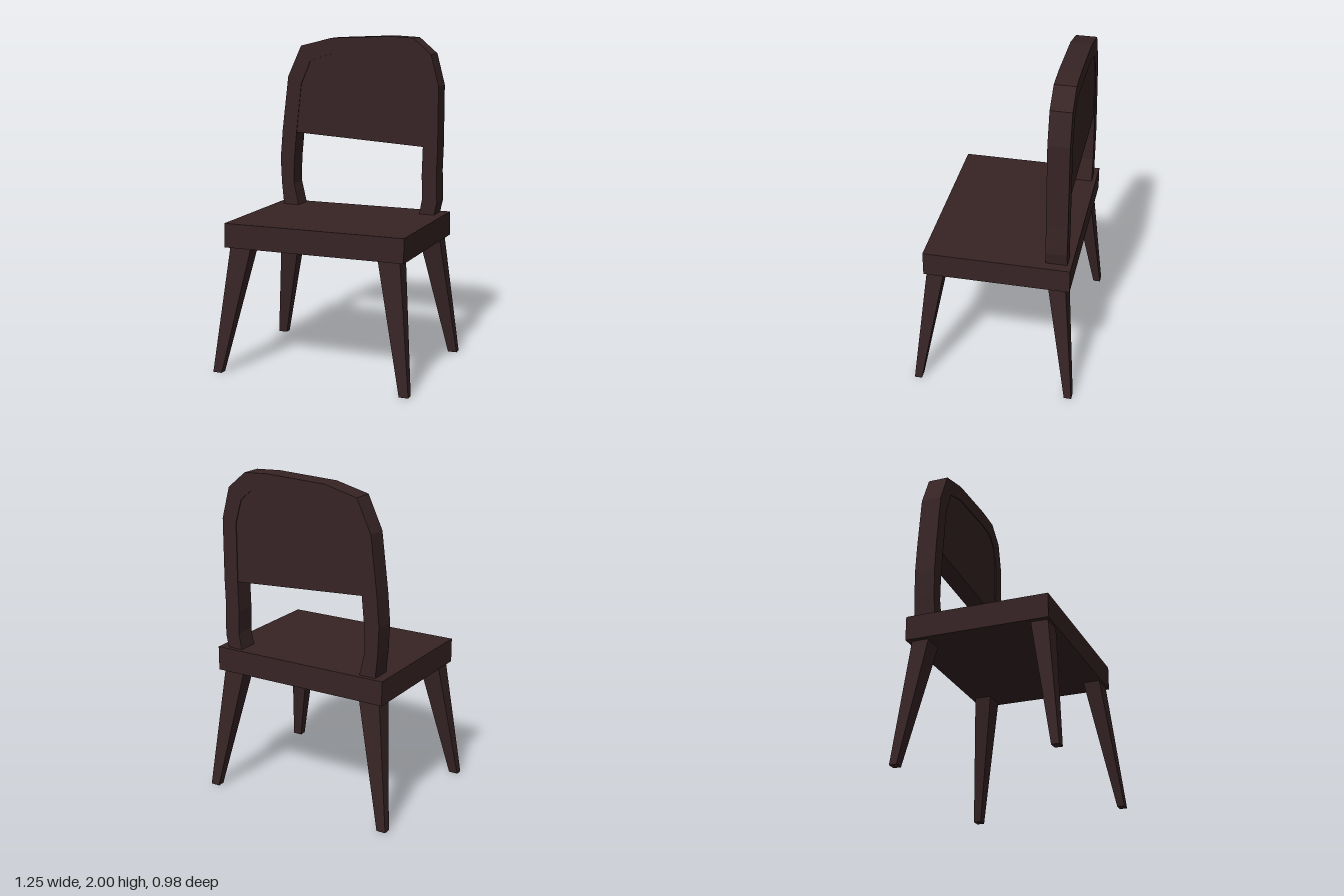
import * as THREE from 'three';

const wood = new THREE.MeshStandardMaterial({ color: 0x372425 });
wood.name = 'darkWood';

function add(group, name, geometry) {
  const mesh = new THREE.Mesh(geometry, wood);
  mesh.name = name;
  group.add(mesh);
  return mesh;
}

// Flat outline extruded between two depths
function slab(points, z0, z1) {
  const shape = new THREE.Shape(points.map(([x, y]) => new THREE.Vector2(x, y)));
  return new THREE.ExtrudeGeometry(shape, { depth: z1 - z0, bevelEnabled: false }).translate(0, 0, z0);
}

// Tapered, splayed leg: a unit box whose ends are moved to [min, max] ranges
function legGeometry(sx, sz, topX, topZ, footX, footZ, height) {
  const geometry = new THREE.BoxGeometry(1, 1, 1);
  const p = geometry.attributes.position;
  for (let i = 0; i < p.count; i++) {
    const top = p.getY(i) > 0;
    const xs = top ? topX : footX;
    const zs = top ? topZ : footZ;
    p.setXYZ(i,
      sx * xs[p.getX(i) * sx > 0 ? 1 : 0],
      top ? height : 0,
      sz * zs[p.getZ(i) * sz > 0 ? 1 : 0]);
  }
  geometry.computeVertexNormals();
  return geometry;
}

export function createModel() {
  const chair = new THREE.Group();
  chair.name = 'chair';

  // Seat
  add(chair, 'seat', new THREE.BoxGeometry(1.135, 0.147, 0.87)).position.set(-0.002, 0.837, -0.015);

  // Four splayed legs
  for (const sx of [-1, 1]) {
    for (const sz of [-1, 1]) {
      const topZ = sz > 0 ? [0.303, 0.406] : [0.318, 0.422];
      add(chair, (sz > 0 ? 'front' : 'back') + (sx > 0 ? 'Left' : 'Right') + 'Leg',
        legGeometry(sx, sz, [0.403, 0.538], topZ, [0.568, 0.625], [0.445, 0.49], 0.77));
    }
  }

  // Bent frame of the backrest: up the right, over the top, down the left
  const outer = [
    [-0.51, 0.9], [-0.525, 1.05], [-0.532, 1.21], [-0.517, 1.39], [-0.475, 1.735],
    [-0.385, 1.93], [-0.18, 1.982], [0.2, 2.0], [0.36, 1.992], [0.475, 1.895],
    [0.525, 1.705], [0.525, 1.34], [0.52, 1.18], [0.525, 0.99], [0.505, 0.9],
  ];
  const panelTop = [
    [0.43, 1.69], [0.39, 1.83], [0.32, 1.89], [0.2, 1.9],
    [-0.17, 1.885], [-0.32, 1.84], [-0.385, 1.69],
  ];
  const inner = [
    [0.41, 0.9], [0.43, 1.01], [0.425, 1.15], [0.43, 1.33], ...panelTop,
    [-0.42, 1.38], [-0.437, 1.2], [-0.44, 1.05], [-0.405, 0.9],
  ];
  add(chair, 'backFrame', slab([...outer, ...inner], -0.424, -0.298));

  // Panel set just inside the frame faces
  add(chair, 'backPanel', slab([[-0.42, 1.38], [0.43, 1.33], ...panelTop], -0.419, -0.303));

  return chair;
}
